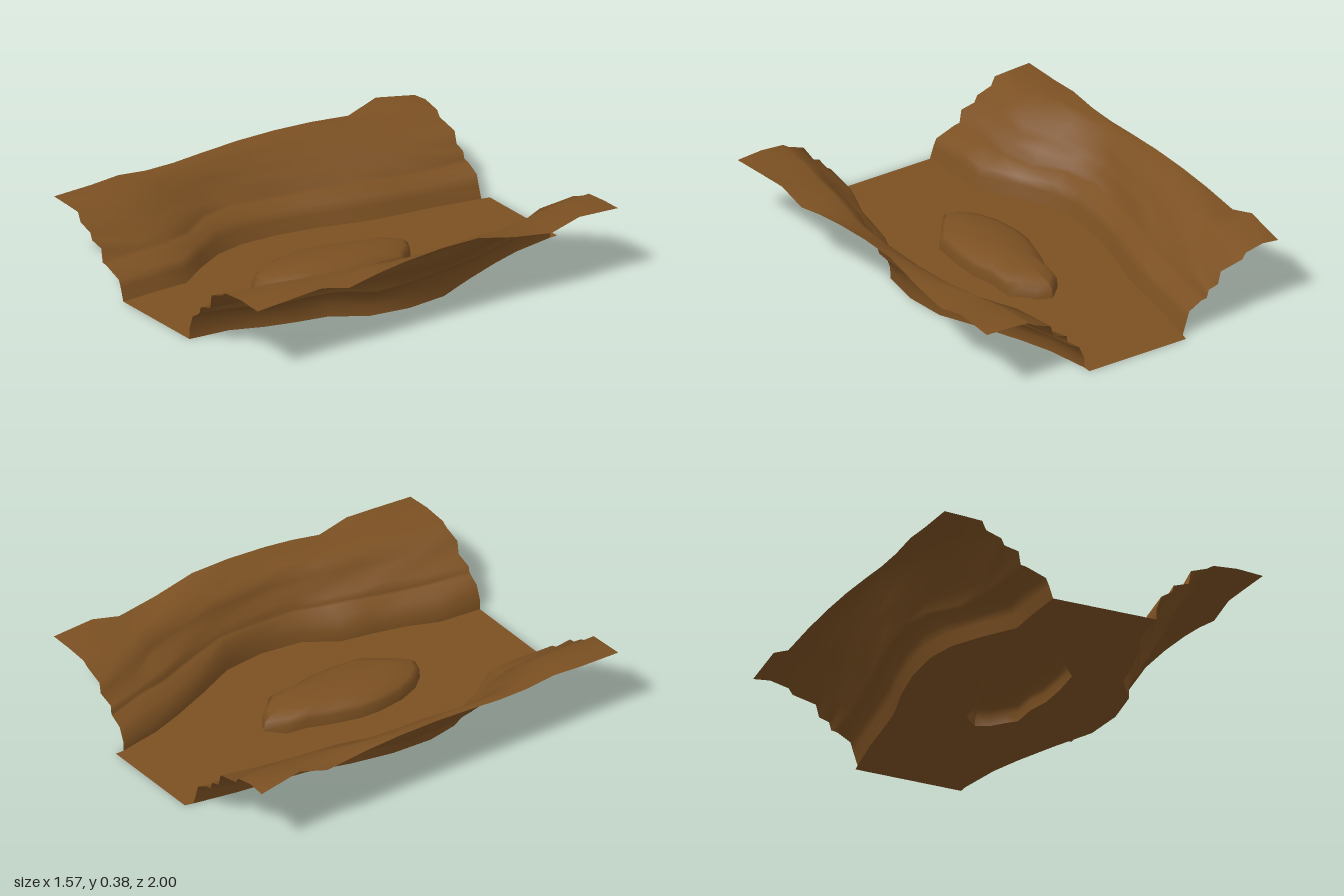
import * as THREE from 'three';

// Stations along the canyon: z, then distance from the middle of foot, ledge 1, ledge 2, rim; then outer height
const LEFT_BANK = [
  [1, 0.25, 0.41, 0.49, 0.59, 0.32], [0.8, 0.26, 0.42, 0.49, 0.59, 0.325],
  [0.65, 0.26, 0.43, 0.5, 0.59, 0.335], [0.5, 0.36, 0.48, 0.57, 0.67, 0.32],
  [0.35, 0.44, 0.57, 0.63, 0.71, 0.32], [0.2, 0.47, 0.6, 0.66, 0.71, 0.33],
  [0, 0.46, 0.59, 0.63, 0.69, 0.34], [-0.2, 0.42, 0.55, 0.6, 0.68, 0.34],
  [-0.4, 0.36, 0.49, 0.56, 0.66, 0.33], [-0.6, 0.33, 0.46, 0.52, 0.62, 0.31],
  [-0.75, 0.31, 0.43, 0.49, 0.6, 0.36], [-0.96, 0.27, 0.4, 0.46, 0.6, 0.32],
];
const RIGHT_BANK = [
  [1, 0.26, 0.34, 0.42, 0.52, 0.32], [0.8, 0.28, 0.38, 0.46, 0.54, 0.335],
  [0.65, 0.34, 0.43, 0.5, 0.57, 0.345], [0.5, 0.38, 0.46, 0.53, 0.59, 0.31],
  [0.35, 0.41, 0.5, 0.56, 0.62, 0.34], [0.2, 0.51, 0.57, 0.61, 0.65, 0.36],
  [0, 0.54, 0.58, 0.62, 0.66, 0.375], [-0.2, 0.52, 0.57, 0.61, 0.66, 0.375],
  [-0.4, 0.43, 0.52, 0.58, 0.64, 0.33], [-0.6, 0.35, 0.45, 0.54, 0.6, 0.3],
  [-0.75, 0.3, 0.41, 0.47, 0.56, 0.34], [-0.96, 0.26, 0.35, 0.43, 0.54, 0.33],
];
// Outline of the mound as x, z
const MOUND = [
  [0.02, -0.36], [0.08, -0.33], [0.13, -0.27], [0.17, -0.23], [0.17, -0.1], [0.195, 0],
  [0.195, 0.15], [0.18, 0.3], [0.13, 0.36], [0.08, 0.43], [0.03, 0.48], [-0.03, 0.46],
  [-0.09, 0.39], [-0.13, 0.29], [-0.15, 0.15], [-0.145, 0.05], [-0.11, -0.08],
  [-0.07, -0.19], [-0.055, -0.29],
];

// Smooth surface through rows of points
function sheet(rows, flip) {
  const n = rows[0].length;
  const index = [];
  for (let i = 0; i < rows.length - 1; i++) {
    for (let j = 0; j < n - 1; j++) {
      const a = i * n + j, b = a + 1, c = a + n, d = c + 1;
      if (flip) index.push(a, c, b, b, c, d);
      else index.push(a, b, c, b, d, c);
    }
  }
  const geo = new THREE.BufferGeometry();
  geo.setAttribute('position', new THREE.Float32BufferAttribute(rows.flat(2), 3));
  geo.setIndex(index);
  geo.computeVertexNormals();
  return geo;
}

// Stepped bank: cross-section from the foot to the outer edge at every station
function bank(stations, side) {
  const rows = stations.map(([z, foot, l1, l2, rim, top], i) => {
    const w = 0.008 * Math.sin(i * 1.9 + side);
    const profile = side < 0
      ? [[foot, 0], [foot + 0.02, 0.06], [foot + 0.035, 0.1 + w], [l1 - 0.03, 0.135 + w],
        [l1, 0.14 + w], [l1 + 0.01, 0.19 - w], [l2, 0.205 - w], [l2 + 0.015, 0.25 + w],
        [rim - 0.01, 0.275 + w], [rim + 0.01, 0.31]]
      : [[foot, 0], [foot, 0.05], [foot + (l1 - foot) * 0.3, 0.11 + w], [l1 - 0.01, 0.14 + w],
        [l1, 0.15 + w], [l1 + 0.005, 0.19 - w], [l2, 0.215 - w], [l2 + 0.01, 0.265 + w],
        [rim - 0.01, 0.3], [rim + 0.02, 0.32]];
    profile.push([(rim + 0.8) / 2, (0.325 + top) / 2 + w], [0.785, top]);
    return profile.map(([x, y]) => [side * x, y, z]);
  });
  return sheet(rows, side < 0);
}

// Flat riverbed between both feet, open under the mound
function bed() {
  const right = RIGHT_BANK.map(([z, x]) => new THREE.Vector2(x, -z));
  const left = LEFT_BANK.map(([z, x]) => new THREE.Vector2(-x, -z)).reverse();
  const shape = new THREE.Shape([
    ...right, new THREE.Vector2(0.26, 1), new THREE.Vector2(-0.26, 1), ...left,
  ]);
  shape.holes.push(new THREE.Path(MOUND.map(([x, z]) => new THREE.Vector2(x, -z))));
  return new THREE.ShapeGeometry(shape).rotateX(-Math.PI / 2);
}

// Steep-sided mound with a gently domed top: shrinking rings of the outline
function mound() {
  const rings = [[1, 0], [0.99, 0.045], [0.92, 0.067], [0.7, 0.088], [0.35, 0.1], [0.001, 0.102]];
  const cx = 0.03, cz = 0.06;
  const rows = rings.map(([s, y]) => [...MOUND, MOUND[0]].map(
    ([x, z]) => [cx + (x - cx) * s, y, cz + (z - cz) * s]));
  return sheet(rows, true);
}

export function createModel() {
  const group = new THREE.Group();
  group.name = 'canyon';
  const earth = new THREE.MeshStandardMaterial({ color: 0x7b5022, side: THREE.DoubleSide });
  earth.name = 'brown earth';
  const parts = {
    riverbed: bed(),
    mound: mound(),
    leftSlope: bank(RIGHT_BANK, 1),
    rightSlope: bank(LEFT_BANK, -1),
  };
  for (const [name, geo] of Object.entries(parts)) {
    const mesh = new THREE.Mesh(geo, earth);
    mesh.name = name;
    group.add(mesh);
  }
  return group;
}
